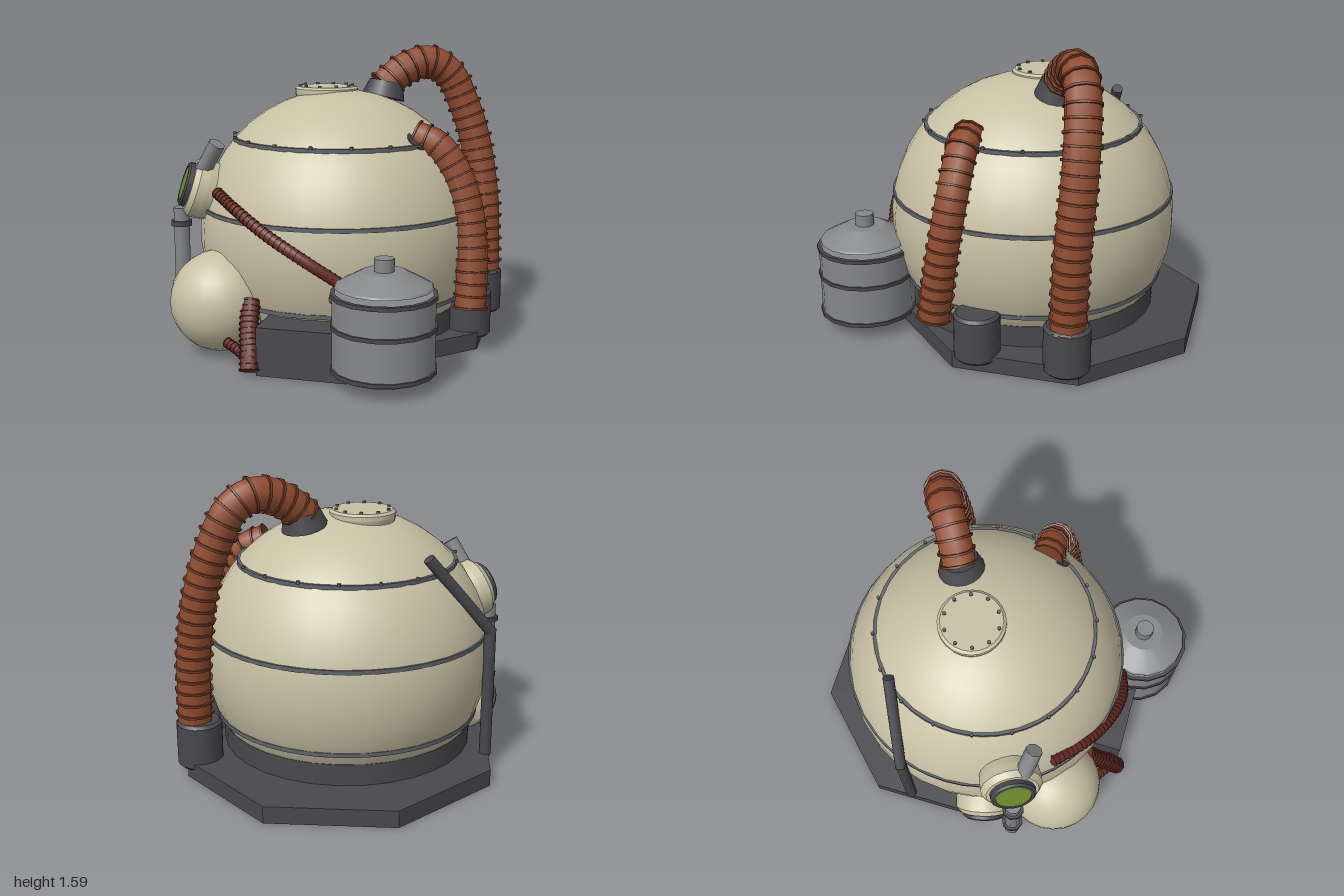
import * as THREE from 'three';

const mat = (name, color) => {
  const m = new THREE.MeshStandardMaterial({ color });
  m.name = name;
  return m;
};
const V = (x, y, z) => new THREE.Vector3(x, y, z);
const UP = V(0, 1, 0);

export function createModel() {
  const model = new THREE.Group();
  model.name = 'domeMachine';
  const cream = mat('cream paint', 0xc8c0a4);
  const steel = mat('grey steel', 0x858789);
  const band = mat('band metal', 0x606369);
  const dark = mat('dark metal', 0x49484d);
  const copper = mat('copper hose', 0x8f4c31);
  const rib = mat('copper ribs', 0x713821);
  const red = mat('dark red hose', 0x652b23);
  const green = mat('green glass', 0x6c8a2c);

  const add = (name, geo, material, parent = model) => {
    const m = new THREE.Mesh(geo, material);
    m.name = name;
    parent.add(m);
    return m;
  };
  // Solid of revolution with crisp edges between profile segments
  const turned = (name, profile, sides, material, parent = model) => {
    const g = new THREE.Group();
    g.name = name;
    for (let i = 0; i < profile.length - 1; i++) {
      const pts = [profile[i], profile[i + 1]].map(([r, y]) => new THREE.Vector2(r, y));
      add(name + 'Face', new THREE.LatheGeometry(pts, sides), material, g);
    }
    parent.add(g);
    return g;
  };
  // Straight round bar between two points, optionally tapered
  const bar = (name, a, b, r, sides, material, rEnd = r) => {
    const d = b.clone().sub(a);
    const m = add(name, new THREE.CylinderGeometry(rEnd, r, d.length(), sides), material);
    m.position.copy(a).addScaledVector(d, 0.5);
    m.quaternion.setFromUnitVectors(UP, d.normalize());
    return m;
  };
  // Corrugated hose: tube with thin raised ribs and closed ends
  const hose = (name, points, r, ribs, tubeMat, ribMat) => {
    const g = new THREE.Group();
    g.name = name;
    const curve = new THREE.CatmullRomCurve3(points.map(p => V(...p)));
    add(name + 'Tube', new THREE.TubeGeometry(curve, ribs * 2, r, 10), tubeMat, g);
    for (let i = 0; i <= ribs; i++) {
      const t = i / ribs;
      const m = add(name + 'Rib', new THREE.CylinderGeometry(r * 1.12, r * 1.12, r * 0.14, 10), ribMat, g);
      m.position.copy(curve.getPointAt(t));
      m.quaternion.setFromUnitVectors(UP, curve.getTangentAt(t));
    }
    model.add(g);
  };

  // Octagonal base slab, front block and round plinth
  const slab = add('baseSlab', new THREE.CylinderGeometry(0.857, 0.857, 0.09, 8, 1, false, Math.PI / 8).toNonIndexed(), dark);
  slab.geometry.computeVertexNormals();
  slab.position.set(0.003, 0.045, -0.21);
  const block = add('frontBlock', new THREE.BoxGeometry(0.46, 0.25, 0.34), dark);
  block.position.set(0.01, 0.125, 0.62);
  const plinth = add('plinth', new THREE.CylinderGeometry(0.68, 0.68, 0.13, 32), dark);
  plinth.position.set(-0.015, 0.14, -0.085);

  // Main dome, cut off inside the plinth, with bands and rivets
  const C = V(-0.015, 0.58, -0.085), R = 0.775;
  const dome = add('dome', new THREE.SphereGeometry(R, 32, 16, 0, Math.PI * 2, 0, 2.2), cream);
  dome.position.copy(C);
  for (const y of [0.272, 0.727, 1.093]) {
    const r = Math.sqrt(R * R - (y - C.y) ** 2) + 0.006;
    const b = turned('domeBand', [[r - 0.03, -0.011], [r, -0.011], [r, 0.011], [r - 0.03, 0.011]], 48, band);
    b.position.set(C.x, y, C.z);
  }
  const rivets = (count, r, x, y, z) => {
    for (let i = 0; i < count; i++) {
      const a = (i / count) * Math.PI * 2;
      add('rivet', new THREE.CylinderGeometry(0.01, 0.01, 0.014, 6), band)
        .position.set(x + Math.sin(a) * r, y, z + Math.cos(a) * r);
    }
  };
  rivets(18, 0.588, C.x, 1.108, C.z);

  // Roof hatch
  turned('hatch', [[0.165, -0.04], [0.175, 0], [0.175, 0.022], [0.16, 0.034], [0, 0.034]], 24, cream)
    .position.set(-0.1, 1.335, -0.125);
  rivets(10, 0.143, -0.1, 1.372, -0.125);

  // Two portholes standing out from the dome
  const porthole = (name, dir) => {
    const g = new THREE.Group();
    g.name = name;
    const n = V(...dir).normalize();
    turned('portholeHousing', [[0.15, -0.1], [0.165, 0.02], [0.165, 0.07], [0.14, 0.1], [0, 0.1]], 20, cream, g);
    turned('portholeRim', [[0.122, 0.09], [0.122, 0.125], [0.11, 0.135], [0.096, 0.135], [0.092, 0.127]], 20, dark, g);
    add('portholeGlass', new THREE.CylinderGeometry(0.097, 0.097, 0.008, 20), green, g).position.y = 0.128;
    g.position.copy(C).addScaledVector(n, R);
    g.quaternion.setFromUnitVectors(UP, n);
    model.add(g);
  };
  porthole('upperPorthole', [-0.85, 0.31, 0.42]);
  porthole('lowerPorthole', [-0.88, -0.45, 0.24]);

  // Side sphere
  add('sideSphere', new THREE.SphereGeometry(0.268, 24, 16), cream).position.set(-0.522, 0.278, 0.465);

  // Grey side pipe with clamps, continuing above the porthole
  bar('sidePipe', V(-0.805, 0.13, 0.3), V(-0.805, 0.73, 0.3), 0.045, 8, steel);
  bar('sidePipeSlope', V(-0.68, 0.92, 0.31), V(-0.575, 1.09, 0.34), 0.045, 8, steel);
  for (const y of [0.3, 0.645]) bar('pipeClamp', V(-0.805, y - 0.014, 0.3), V(-0.805, y + 0.014, 0.3), 0.06, 8, dark);

  // Dark rear pipe
  bar('rearPipe', V(-0.772, 0.08, -0.33), V(-0.772, 0.79, -0.33), 0.031, 8, dark);
  bar('rearPipeSlope', V(-0.78, 0.77, -0.33), V(-0.445, 1.19, -0.465), 0.031, 8, dark);

  // Hose pillars
  for (const [x, z] of [[0.73, 0.005], [0.74, -0.465]]) {
    turned('hosePillar', [[0, 0.05], [0.105, 0.05], [0.12, 0.065], [0.12, 0.285], [0.105, 0.3], [0, 0.3]], 20, dark)
      .position.set(x, 0, z);
  }

  // Large copper hoses and their dome collars
  hose('rearHose', [[0.19, 1.36, -0.28], [0.29, 1.45, -0.34], [0.42, 1.495, -0.42], [0.53, 1.43, -0.47],
    [0.62, 1.25, -0.495], [0.69, 1.03, -0.5], [0.745, 0.7, -0.485], [0.76, 0.28, -0.47]], 0.09, 25, copper, rib);
  hose('frontHose', [[0.445, 1.135, 0.12], [0.56, 1.09, 0.125], [0.665, 0.95, 0.13], [0.735, 0.75, 0.15],
    [0.765, 0.5, 0.185], [0.765, 0.26, 0.22]], 0.082, 16, copper, rib);
  bar('rearHoseCollar', V(0.19, 1.3, -0.27), V(0.205, 1.385, -0.285), 0.122, 18, dark, 0.095);
  bar('frontHoseCollar', V(0.42, 1.07, 0.17), V(0.465, 1.12, 0.185), 0.06, 14, dark);

  // Thin dark red hoses and a copper stub by the tank
  hose('domeHose', [[-0.54, 0.845, 0.44], [-0.38, 0.78, 0.575], [-0.2, 0.69, 0.67], [0, 0.585, 0.71], [0.19, 0.46, 0.67]],
    0.029, 30, red, red);
  hose('floorHose', [[-0.31, 0.32, 0.6], [-0.29, 0.2, 0.69], [-0.265, 0.1, 0.76], [-0.255, 0.03, 0.8]], 0.047, 12, red, red);
  hose('branchHose', [[-0.41, 0.12, 0.68], [-0.33, 0.1, 0.73], [-0.26, 0.07, 0.78]], 0.026, 7, red, red);
  bar('tankStub', V(0.13, 0.38, 0.66), V(0.21, 0.4, 0.69), 0.02, 8, copper);

  // Front tank with bands, floating roof and cap
  const tank = new THREE.Group();
  tank.name = 'tank';
  tank.position.set(0.413, 0, 0.738);
  model.add(tank);
  turned('tankBody', [[0, 0.06], [0.23, 0.06], [0.253, 0.08], [0.253, 0.455], [0, 0.455]], 16, steel, tank);
  for (const y of [0.085, 0.3, 0.452]) {
    turned('tankBand', [[0.24, y - 0.01], [0.262, y - 0.01], [0.262, y + 0.01], [0.24, y + 0.01]], 16, dark, tank);
  }
  turned('tankRoof', [[0, 0.49], [0.242, 0.49], [0.235, 0.5], [0.11, 0.567], [0, 0.567]], 16, steel, tank);
  add('tankCap', new THREE.CylinderGeometry(0.05, 0.05, 0.08, 10), steel, tank).position.y = 0.59;

  return model;
}
